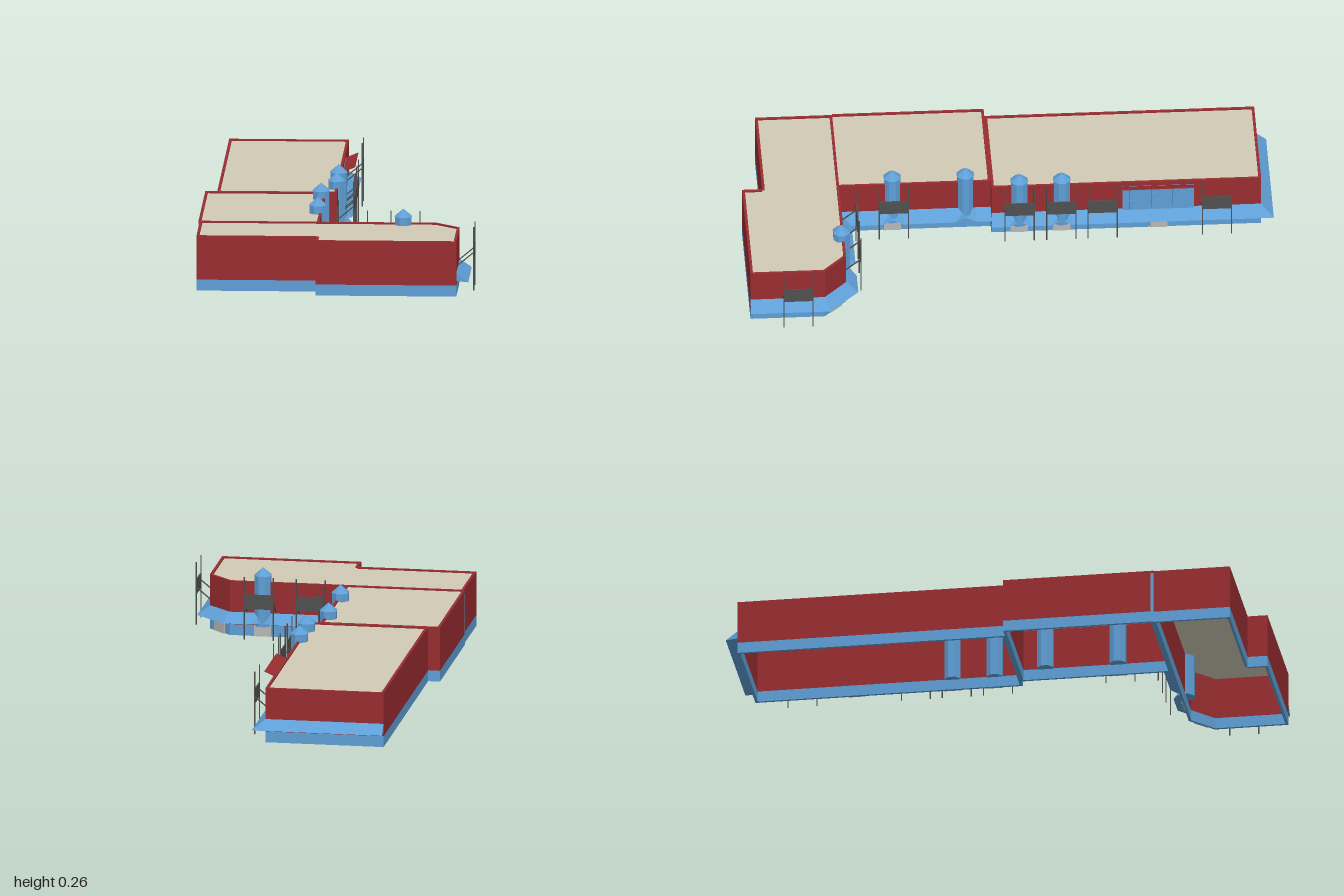
import * as THREE from 'three';

const mat = (color, opts = {}) => new THREE.MeshStandardMaterial({ color, flatShading: true, ...opts });
const RED = mat(0x992d30), BLUE = mat(0x5f9fd6), GREY = mat(0x505050), DOOR = mat(0xb8b8b8);
const ROOF = mat(0xd0cab6, { side: THREE.DoubleSide });
const BLUE2 = mat(0x5f9fd6, { side: THREE.DoubleSide });
const RED2 = mat(0x992d30, { side: THREE.DoubleSide });

const BASE = 0.042, TOP = 0.21, THICK = 0.01;

function add(group, name, geometry, material, x = 0, y = 0, z = 0) {
  const mesh = new THREE.Mesh(geometry, material);
  mesh.name = name;
  mesh.position.set(x, y, z);
  group.add(mesh);
  return mesh;
}

// Upright slab on the inner side of the edge a-b
function wall(group, name, a, b, y0, y1, material) {
  const dx = b[0] - a[0], dz = b[1] - a[1], len = Math.hypot(dx, dz);
  const nx = -dz / len, nz = dx / len;
  const m = add(group, name, new THREE.BoxGeometry(len, y1 - y0, THICK), material,
    (a[0] + b[0]) / 2 + nx * THICK / 2, (y0 + y1) / 2, (a[1] + b[1]) / 2 + nz * THICK / 2);
  m.rotation.y = Math.atan2(-dz, dx);
}

// Floorless block: outline runs clockwise as seen from above
function block(name, outline, glazedEdge = -1) {
  const g = new THREE.Group();
  g.name = name;
  outline.forEach((a, i) => {
    const b = outline[(i + 1) % outline.length];
    wall(g, 'plinth', a, b, 0, BASE, BLUE);
    if (i === glazedEdge) wall(g, 'innerGlazedWall', a, b, BASE, 0.2, BLUE);
    else wall(g, 'brickWall', a, b, BASE, TOP, RED);
  });
  const shape = new THREE.Shape(outline.map(([x, z]) => new THREE.Vector2(x, -z)));
  const roof = add(g, 'roof', new THREE.ShapeGeometry(shape), ROOF, 0, 0.204, 0);
  roof.rotation.x = -Math.PI / 2;
  return g;
}

// Wedge-shaped canopy swept along [wallX, wallZ, edgeX, edgeZ] stations
function canopy(group, stations) {
  const pos = [], index = [];
  for (const [xi, zi, xo, zo] of stations) pos.push(xi, 0.09, zi, xo, 0.055, zo, xi, 0.06, zi);
  for (let i = 0; i < stations.length - 1; i++) {
    for (let k = 0; k < 2; k++) {
      const a = i * 3 + k, b = a + 1;
      index.push(a, b, b + 3, a, b + 3, a + 3);
    }
  }
  const e = (stations.length - 1) * 3;
  index.push(0, 1, 2, e, e + 2, e + 1);
  const geo = new THREE.BufferGeometry();
  geo.setAttribute('position', new THREE.Float32BufferAttribute(pos, 3));
  geo.setIndex(index);
  geo.computeVertexNormals();
  add(group, 'canopy', geo, BLUE2);
}

// Stations pinching the canopy in beside a turret
const notchZ = (x, z) => [-0.04, 0, 0.04].map(d => [x, z + d, x + (d ? 0.045 : 0.018), z + d]);
const notchX = (x, z) => [-0.04, 0, 0.04].map(d => [x + d, z, x + d, z - (d ? 0.045 : 0.018)]);

// Eight-sided column with pointed cap
function turret(x, z) {
  const g = new THREE.Group();
  g.name = 'turret';
  g.position.set(x, 0, z);
  const shaft = add(g, 'turretShaft', new THREE.CylinderGeometry(0.033, 0.033, 0.195, 8), BLUE, 0, 0.1375, 0);
  const cap = add(g, 'turretCap', new THREE.ConeGeometry(0.035, 0.03, 8), BLUE, 0, 0.25, 0);
  shaft.rotation.y = cap.rotation.y = Math.PI / 8;
  return g;
}

// Sign panel on two braced posts; local +z points away from the wall
function sign(x, z, turn) {
  const g = new THREE.Group();
  g.name = 'sign';
  g.position.set(x, 0, z);
  g.rotation.y = turn;
  for (const s of [-0.055, 0.055]) {
    add(g, 'signPost', new THREE.BoxGeometry(0.004, 0.242, 0.004), GREY, s, 0.121, 0.06);
    const brace = add(g, 'signBrace', new THREE.BoxGeometry(0.004, 0.004, 0.079), GREY, s, 0.121, 0.03);
    brace.rotation.x = -Math.atan2(0.05, 0.06);
  }
  add(g, 'signPanel', new THREE.BoxGeometry(0.114, 0.056, 0.004), GREY, 0, 0.147, 0.06);
  return g;
}

export function createModel() {
  const model = new THREE.Group();
  model.name = 'schoolBuilding';

  // Three joined wings
  model.add(block('backWing', [[-0.48, -0.955], [-0.03, -0.955], [-0.03, 0.06], [-0.48, 0.06]]));
  model.add(block('middleWing', [[-0.525, 0.06], [-0.07, 0.06], [-0.07, 0.63], [-0.525, 0.63]], 2));
  model.add(block('frontWing', [[-0.52, 0.63], [0.37, 0.63], [0.46, 0.715], [0.46, 0.995],
    [-0.07, 0.995], [-0.07, 0.92], [-0.52, 0.92]]));

  // Canopies along the courtyard walls
  canopy(model, [[-0.48, -0.955, -0.48, -1], [-0.03, -0.955, 0.015, -1],
    ...notchZ(-0.03, -0.205), ...notchZ(-0.03, -0.045), [-0.03, 0.06, 0.015, 0.06]]);
  canopy(model, [[-0.07, 0.06, -0.025, 0.06], ...notchZ(-0.07, 0.155), ...notchZ(-0.07, 0.43),
    [-0.07, 0.63, -0.025, 0.585], ...notchX(0.245, 0.63), [0.37, 0.63, 0.39, 0.585],
    [0.46, 0.715, 0.505, 0.695], [0.46, 0.995, 0.505, 0.995]]);

  // Turrets
  for (const [x, z] of [[-0.035, -0.205], [-0.035, -0.045], [-0.085, 0.155], [-0.085, 0.43], [0.245, 0.64]])
    model.add(turret(x, z));

  // Signs
  for (const z of [-0.785, -0.355, -0.2, -0.043]) model.add(sign(-0.03, z, Math.PI / 2));
  model.add(sign(-0.07, 0.428, Math.PI / 2), sign(0.46, 0.818, Math.PI / 2));
  for (const x of [0.052, 0.25]) model.add(sign(x, 0.63, Math.PI));

  // Glazed entrance: panes under an upturned red awning
  const cols = 10, rows = 4, w = 0.27 / cols, h = 0.125 / rows;
  for (let i = 0; i < cols; i++) for (let j = 0; j < rows; j++)
    add(model, 'entrancePane', new THREE.BoxGeometry(0.006, h - 0.0006, w - 0.0006), BLUE,
      -0.028, 0.068 + (j + 0.5) * h, -0.703 + (i + 0.5) * w);
  const awning = add(model, 'entranceAwning', new THREE.BoxGeometry(0.05, 0.003, 0.27), RED2, -0.007, 0.2, -0.568);
  awning.rotation.z = 0.4;

  // Doors beneath the canopy
  for (const [x, z, turn] of [[-0.03, -0.045, 0], [-0.03, -0.205, 0], [-0.03, -0.57, 0],
    [-0.07, 0.43, 0], [0.415, 0.672, Math.PI / 4], [0.245, 0.63, Math.PI / 2]]) {
    const door = add(model, 'door', new THREE.BoxGeometry(0.008, 0.045, 0.065), DOOR, x, 0.0225, z);
    door.rotation.y = turn;
  }
  return model;
}
